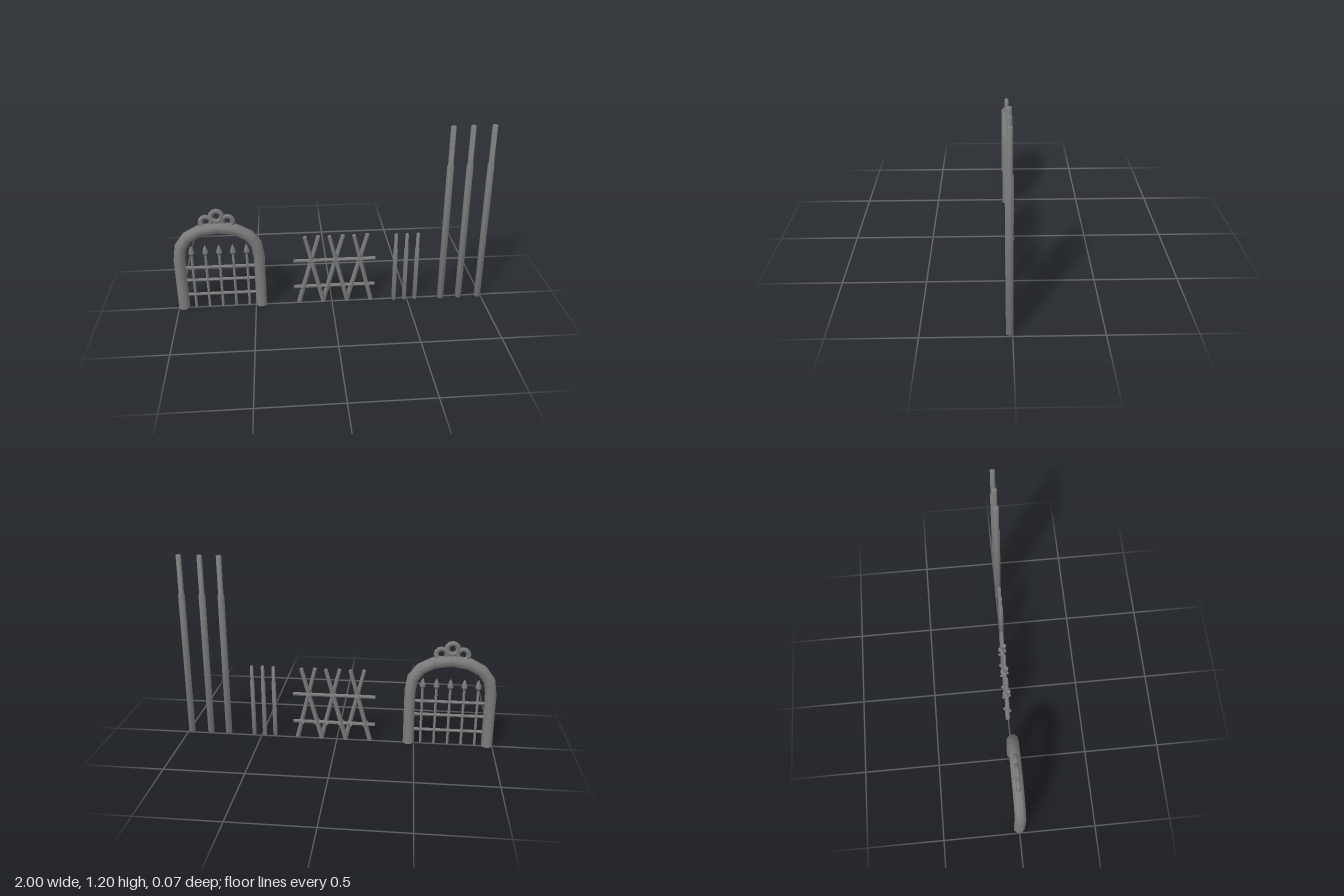
import * as THREE from 'three';
import { toCreasedNormals } from 'three/addons/utils/BufferGeometryUtils.js';

const mat = new THREE.MeshStandardMaterial({ color: 0x7c7c7c });
const v = (x, y, z = 0) => new THREE.Vector3(x, y, z);
const profile = (points) => points.map(([x, y]) => new THREE.Vector2(x, y));

// Mesh with rounded sides and sharp end caps
function add(parent, name, geometry) {
  const mesh = new THREE.Mesh(toCreasedNormals(geometry, 1.15), mat);
  mesh.name = name;
  parent.add(mesh);
  return mesh;
}

// Straight round bar between two points
function bar(parent, name, a, b, rBottom, rTop = rBottom) {
  const dir = b.clone().sub(a);
  const mesh = add(parent, name, new THREE.CylinderGeometry(rTop, rBottom, dir.length(), 6));
  mesh.position.copy(a).add(b).multiplyScalar(0.5);
  mesh.quaternion.setFromUnitVectors(v(0, 1), dir.normalize());
}

// Sweep of a regular polygon along a path in the xy plane, mitred and capped
function sweep(path, radius, sides) {
  const pos = [], index = [];
  path.forEach((p, i) => {
    const inDir = p.clone().sub(path[Math.max(i - 1, 0)]).normalize();
    const outDir = path[Math.min(i + 1, path.length - 1)].clone().sub(p).normalize();
    const t = inDir.clone().add(outDir).normalize();
    const mitre = 1 / t.dot(i ? inDir : outDir);
    for (let s = 0; s < sides; s++) {
      const a = ((s + 0.5) / sides) * Math.PI * 2;
      const n = Math.cos(a) * radius * mitre;
      pos.push(p.x - t.y * n, p.y + t.x * n, Math.sin(a) * radius);
    }
  });
  for (let i = 0; i < path.length - 1; i++)
    for (let s = 0; s < sides; s++) {
      const a = i * sides + s, b = i * sides + ((s + 1) % sides);
      index.push(a, b, a + sides, b, b + sides, a + sides);
    }
  const last = (path.length - 1) * sides;
  for (let s = 1; s < sides - 1; s++) {
    index.push(0, s + 1, s);
    index.push(last, last + s, last + s + 1);
  }
  const g = new THREE.BufferGeometry();
  g.setAttribute('position', new THREE.Float32BufferAttribute(pos, 3));
  g.setIndex(index);
  return g;
}

function createGate() {
  const gate = new THREE.Group();
  gate.name = 'gate';

  // Arched frame: right half mirrored to the left
  const half = [[0.251, 0.005], [0.251, 0.365], [0.237, 0.452], [0.19, 0.516], [0.108, 0.56]];
  const path = [
    ...half.map(([x, y]) => v(x, y)),
    v(0, 0.576),
    ...half.slice().reverse().map(([x, y]) => v(-x, y)),
  ];
  add(gate, 'archFrame', sweep(path, 0.037, 8));

  // Ornamental rings, the outer two sunk into the crown
  add(gate, 'centreRing', new THREE.TorusGeometry(0.035, 0.0165, 6, 12)).position.y = 0.655;
  for (const side of [-1, 1])
    add(gate, 'sideRing', new THREE.TorusGeometry(0.034, 0.0155, 6, 12)).position.set(side * 0.066, 0.619, 0);

  // Cross bars
  for (const y of [0.1, 0.206, 0.298])
    bar(gate, 'crossBar', v(-0.235, y), v(0.235, y), 0.01);

  // Upright bars with spear heads
  const head = profile([[0, 0.385], [0.009, 0.385], [0.021, 0.403], [0.013, 0.43], [0, 0.458]]);
  for (let i = -2; i <= 2; i++) {
    const x = i * 0.0865;
    bar(gate, 'uprightBar', v(x, 0.005), v(x, 0.392), 0.009);
    add(gate, 'spearHead', new THREE.LatheGeometry(head, 6)).position.x = x;
  }
  gate.position.x = -0.715;
  return gate;
}

function createFence() {
  const fence = new THREE.Group();
  fence.name = 'stickFence';
  const railY = [0.12, 0.312];

  for (const y of railY) bar(fence, 'rail', v(-0.248, y, -0.005), v(0.283, y, -0.005), 0.0115);

  // Rope tie wrapped around a rail, leaning with the stick
  const tie = (x, y, lean) => {
    const m = add(fence, 'ropeTie', new THREE.TorusGeometry(0.018, 0.0075, 6, 10));
    m.scale.set(1.25, 0.75, 1);
    m.rotation.set(0, Math.PI / 2 + lean * 0.5, lean * 0.35, 'ZYX');
    m.position.set(x, y, -0.004);
  };

  // Three pairs of crossed sticks
  for (let i = 0; i < 3; i++) {
    const cx = -0.136 + i * 0.157;
    for (const s of [-1, 1]) {
      const foot = v(cx + s * 0.08, 0.006, s * 0.004);
      const tip = v(cx + 0.006 - s * 0.044, 0.489, s * 0.004);
      bar(fence, 'stick', foot, tip, 0.0165, 0.0135);
      tie(cx + s * 0.05, railY[0], s);
      tie(cx + 0.004 + s * 0.004, railY[1], s);
    }
  }
  return fence;
}

// Hexagonal post with a thinner upper section
function addPost(parent, name, x, z, r, rTop, shoulder, height) {
  const outline = profile([[0, 0], [r * 0.85, 0], [r, 0.006], [r, shoulder - 0.012], [rTop, shoulder],
    [rTop, height - 0.004], [rTop * 0.85, height], [0, height]]);
  add(parent, name, new THREE.LatheGeometry(outline, 6, Math.PI / 6)).position.set(x, 0, z);
}

export function createModel() {
  const model = new THREE.Group();
  model.name = 'fenceSet';
  model.add(createGate(), createFence());
  for (const x of [0.411, 0.481, 0.552])
    addPost(model, 'shortPost', x, 0.012, 0.0145, 0.0115, 0.39, 0.488);
  for (const x of [0.726, 0.847, 0.978])
    addPost(model, 'tallPost', x, 0.0155, 0.022, 0.0175, 0.957, 1.2);
  return model;
}
